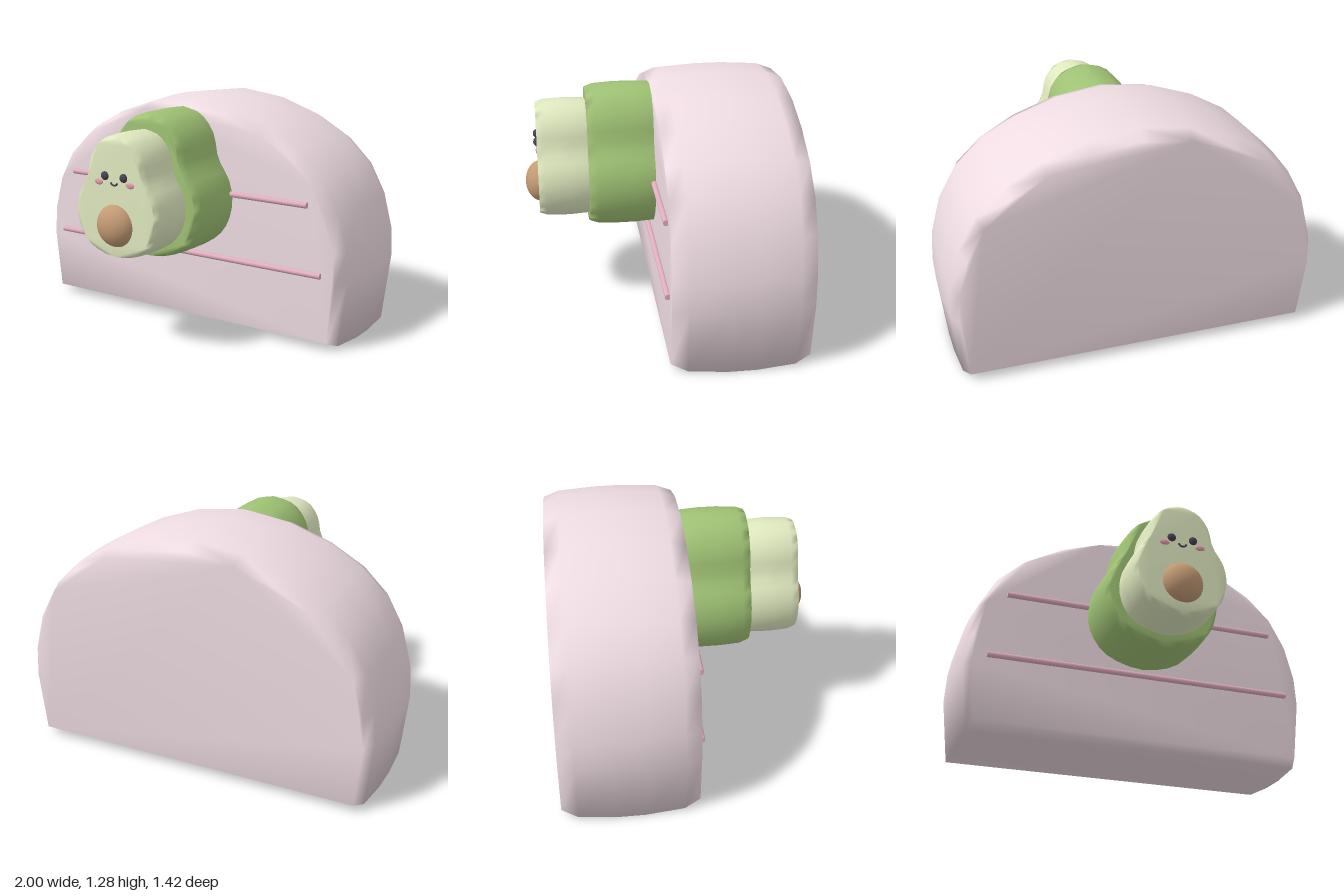
import * as THREE from 'three';
import { mergeVertices } from 'three/addons/utils/BufferGeometryUtils.js';

const COLORS = {
  body: 0xeedce2, rod: 0xe3aec0, skin: 0x9fc274, flesh: 0xdfe9bf,
  seed: 0xc39a74, dark: 0x4a4250, cheek: 0xe39aaa,
};

function addMesh(parent, name, geometry, color) {
  const mesh = new THREE.Mesh(geometry, new THREE.MeshStandardMaterial({ color }));
  mesh.name = name;
  parent.add(mesh);
  return mesh;
}

// Full outline from its +x half, listed from top centre to bottom
function mirrorOutline(half) {
  const left = half.filter(([x]) => x > 0).map(([x, y]) => [-x, y]).reverse();
  return [...half, ...left].map(([x, y]) => new THREE.Vector2(x, y));
}

// Pillow-like slab between two depths, with softly rounded rims and smooth normals
function softSlab(points, zBack, zFront, bevelThickness, bevelSize) {
  const geometry = new THREE.ExtrudeGeometry(new THREE.Shape(points), {
    depth: zFront - zBack - 2 * bevelThickness,
    bevelEnabled: true, bevelThickness, bevelSize,
    bevelOffset: -bevelSize, bevelSegments: 2,
  });
  geometry.translate(0, 0, zBack + bevelThickness);
  geometry.deleteAttribute('uv');
  geometry.deleteAttribute('normal');
  const merged = mergeVertices(geometry, 1e-4);
  merged.computeVertexNormals();
  return merged;
}

export function createModel() {
  const model = new THREE.Group();
  model.name = 'avocadoPouch';

  // Domed body with a flat base
  const dome = mirrorOutline([
    [0, 1.285], [0.27, 1.25], [0.5, 1.17], [0.695, 1.06], [0.84, 0.92],
    [0.936, 0.745], [0.99, 0.54], [1, 0.37], [0.957, 0],
  ]);
  addMesh(model, 'body', softSlab(dome, -0.71, 0.02, 0.29, 0.045), COLORS.body);

  // Horizontal rods across the front
  for (const [name, y, halfLength] of [['upperRod', 0.785, 0.785], ['lowerRod', 0.415, 0.875]]) {
    const rod = addMesh(model, name,
      new THREE.CylinderGeometry(0.016, 0.016, 2 * halfLength, 10), COLORS.rod);
    rod.rotation.z = Math.PI / 2;
    rod.position.set(0, y, 0.03);
  }

  // Pear-shaped avocado layers
  const avocado = new THREE.Group();
  avocado.name = 'avocado';
  model.add(avocado);

  const pear = mirrorOutline([
    [0, 1.245], [0.12, 1.212], [0.205, 1.11], [0.238, 0.975], [0.308, 0.86],
    [0.33, 0.73], [0.29, 0.595], [0.185, 0.495], [0, 0.45],
  ]);
  const outline = new THREE.SplineCurve([...pear, pear[0]]).getPoints(40).slice(0, -1);
  const innerOutline = outline.map(
    (p) => new THREE.Vector2(p.x * 0.8, 0.837 + (p.y - 0.8475) * 0.83));
  addMesh(avocado, 'skin', softSlab(outline, -0.03, 0.37, 0.15, 0.022), COLORS.skin);
  addMesh(avocado, 'flesh', softSlab(innerOutline, 0.34, 0.64, 0.13, 0.018), COLORS.flesh);

  // Flattened spheres: seed, eyes and cheeks
  function ellipsoid(name, color, position, scale, detail = 16) {
    const mesh = addMesh(avocado, name, new THREE.SphereGeometry(1, detail * 2, detail), color);
    mesh.position.set(...position);
    mesh.scale.set(...scale);
  }
  ellipsoid('seed', COLORS.seed, [0, 0.692, 0.62], [0.115, 0.115, 0.09], 20);
  for (const [side, sign] of [['left', 1], ['right', -1]]) {
    ellipsoid(side + 'Eye', COLORS.dark, [sign * 0.06, 0.95, 0.64], [0.023, 0.023, 0.018]);
    ellipsoid(side + 'Cheek', COLORS.cheek, [sign * 0.1, 0.915, 0.64], [0.027, 0.016, 0.007]);
  }

  // Smile
  const mouth = addMesh(avocado, 'mouth',
    new THREE.TorusGeometry(0.022, 0.005, 8, 16, Math.PI * 0.8), COLORS.dark);
  mouth.rotation.z = Math.PI * 1.1;
  mouth.position.set(0, 0.927, 0.643);

  return model;
}
